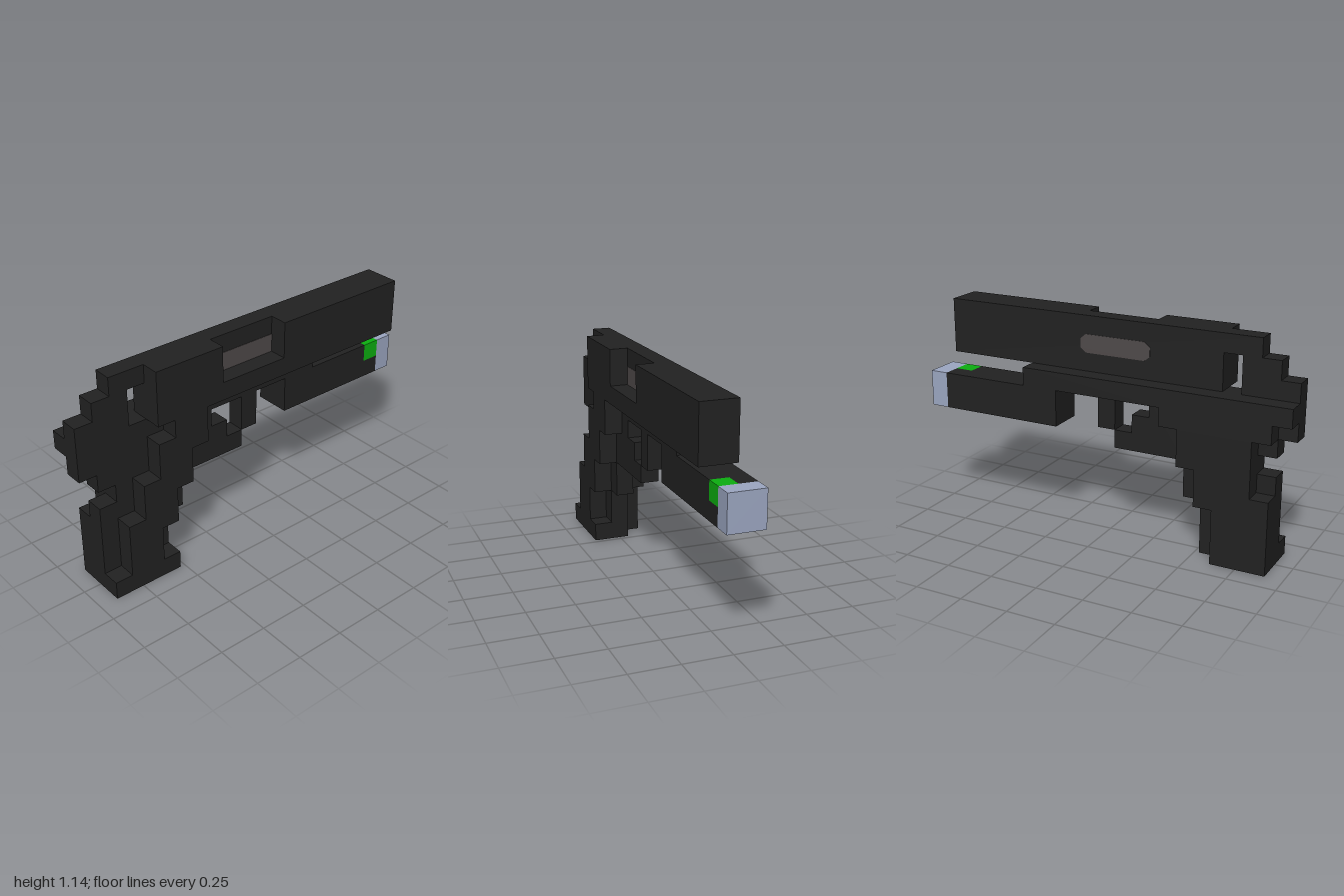
import * as THREE from 'three';

// One block of the stepped grid: 21 long, 12 high, 3 wide
const U = 2 / 21;

function material(name, color) {
  const m = new THREE.MeshStandardMaterial({ color });
  m.name = name;
  return m;
}

// Side outline in blocks (steps from the rear, height), extruded across columns i0..i1
function slab(name, mat, i0, i1, points) {
  const shape = new THREE.Shape(points.map(([k, j]) => new THREE.Vector2((k - 10.5) * U, j * U)));
  const geometry = new THREE.ExtrudeGeometry(shape, { depth: (i1 - i0) * U, bevelEnabled: false });
  geometry.rotateY(Math.PI / 2);
  geometry.translate((i0 - 1.5) * U, 0, 0);
  const mesh = new THREE.Mesh(geometry, mat);
  mesh.name = name;
  return mesh;
}

const rect = (k0, j0, k1, j1) => [[k0, j0], [k1, j0], [k1, j1], [k0, j1]];

export function createModel() {
  const black = material('black', 0x222222);
  const grey = material('portGrey', 0x4f4a4a);
  const green = material('green', 0x0caf10);
  const pale = material('paleBlue', 0x9ca7c2);

  const model = new THREE.Group();
  model.name = 'blockPistol';

  // Frame: centre layer with grip core and trigger guard
  model.add(slab('frameCore', black, 1, 2, [
    [1, 0], [5, 0], [5, 3], [6, 3], [6, 5], [10, 5], [10, 6], [9, 6], [9, 7], [8, 7], [8, 8],
    [15, 8], [15, 9], [0, 9], [0, 7], [1, 7], [1, 6], [2, 6], [2, 5], [1, 5],
  ]));
  model.add(slab('trigger', black, 1, 2, rect(10, 6, 11, 8)));

  // Grip sides
  model.add(slab('gripPanel', black, 2, 3, [
    [1, 0], [5, 0], [5, 1], [4, 1], [4, 3], [5, 3], [5, 5], [6, 5], [6, 7], [7, 7], [7, 9],
    [5, 9], [5, 8], [4, 8], [4, 6], [3, 6], [3, 4], [2, 4], [2, 1], [1, 1],
  ]));
  model.add(slab('gripAndRail', black, 0, 1, [
    [1, 0], [4, 0], [4, 3], [5, 3], [5, 5], [6, 5], [6, 7], [7, 7], [7, 8], [15, 8], [15, 9],
    [0, 9], [0, 8], [1, 8], [1, 7], [2, 7], [2, 4], [1, 4],
  ]));

  // Slide: inner layer with hammer gap, outer layer with port recess
  model.add(slab('slideInner', black, 1, 2, [
    [0, 9], [3, 9], [3, 11], [4, 11], [4, 9], [20, 9], [20, 12], [2, 12], [2, 11], [1, 11],
    [1, 10], [0, 10],
  ]));
  model.add(slab('slideOuter', black, 2, 3, [
    [4, 9], [20, 9], [20, 12], [12, 12], [12, 10], [8, 10], [8, 12], [4, 12],
  ]));

  // Port plates on both faces of the inner slide
  model.add(slab('portPlate', grey, 2, 2.02, rect(8, 10, 12, 11)));
  model.add(slab('portPlateBack', grey, 0.98, 1, [
    [8.3, 10], [11.7, 10], [12, 10.25], [12, 10.75], [11.7, 11], [8.3, 11], [8, 10.75], [8, 10.25],
  ]));

  // Lamp under the barrel
  const lamp = new THREE.Group();
  lamp.name = 'lamp';
  lamp.add(slab('lampSide', black, 0, 1, rect(13, 6, 20, 8)));
  lamp.add(slab('lampBody', black, 1, 2, [[13, 6], [20, 6], [20, 7], [19, 7], [19, 8], [13, 8]]));
  lamp.add(slab('lampSwitch', green, 1, 2, rect(19, 7, 20, 8)));
  lamp.add(slab('lampLens', pale, 0, 2, rect(20, 6, 21, 8)));
  model.add(lamp);

  return model;
}
